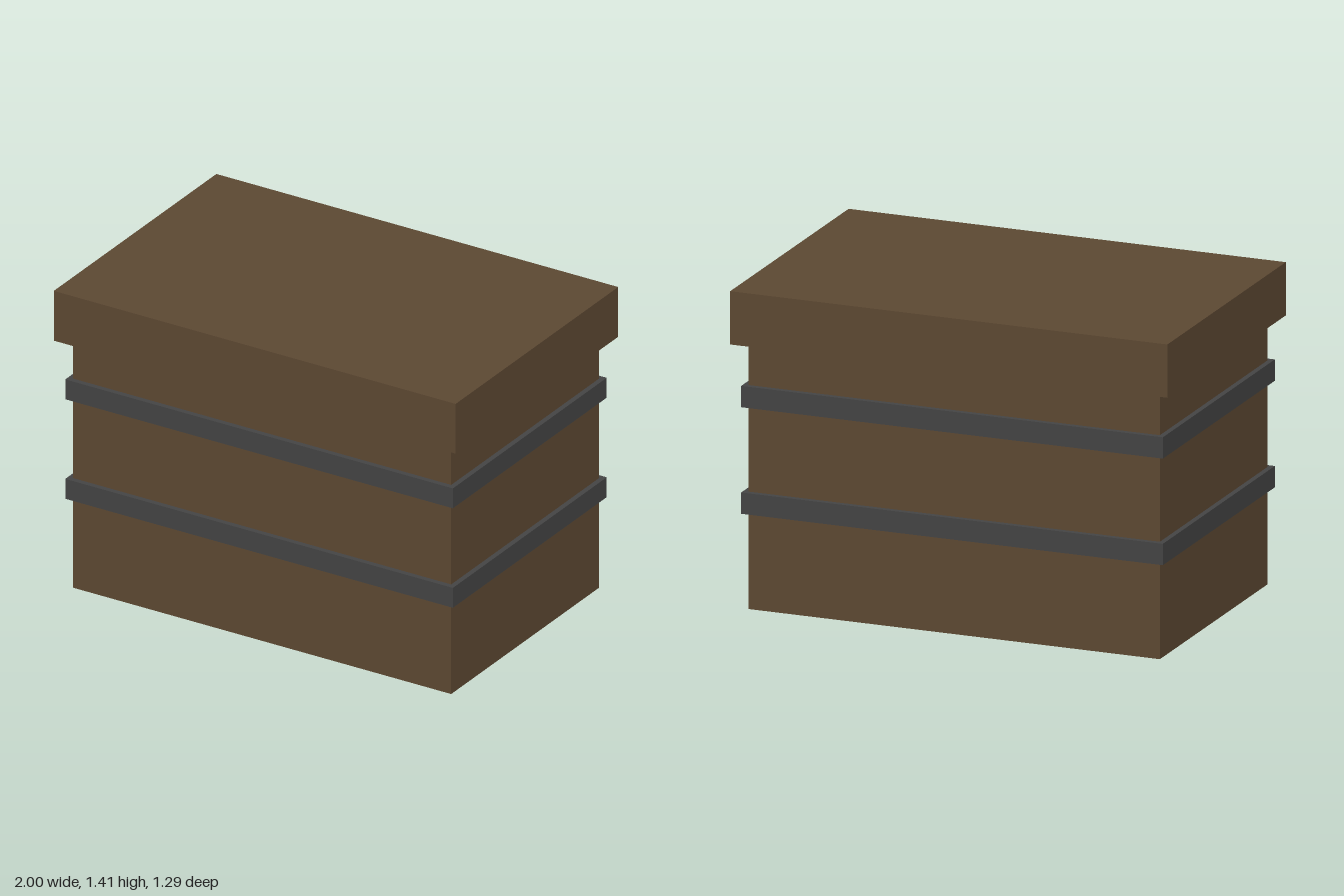
import * as THREE from 'three';

export function createModel() {
  const group = new THREE.Group();
  group.name = 'crate';

  const wood = new THREE.MeshStandardMaterial({ color: 0x5c4832 });
  wood.name = 'dark wood';
  const iron = new THREE.MeshStandardMaterial({ color: 0x444444 });
  iron.name = 'dark iron';

  // Adds a box centred on x and z, with its middle at height y
  function addBox(name, width, height, depth, y, material) {
    const mesh = new THREE.Mesh(new THREE.BoxGeometry(width, height, depth), material);
    mesh.name = name;
    mesh.position.y = y;
    group.add(mesh);
  }

  // Body and overhanging lid
  addBox('body', 1.882, 1.176, 1.176, 0.588, wood);
  addBox('lid', 2, 0.235, 1.294, 1.294, wood);

  // Metal bands around the body
  addBox('lowerBand', 1.929, 0.094, 1.224, 0.471, iron);
  addBox('upperBand', 1.929, 0.094, 1.224, 0.941, iron);

  return group;
}
